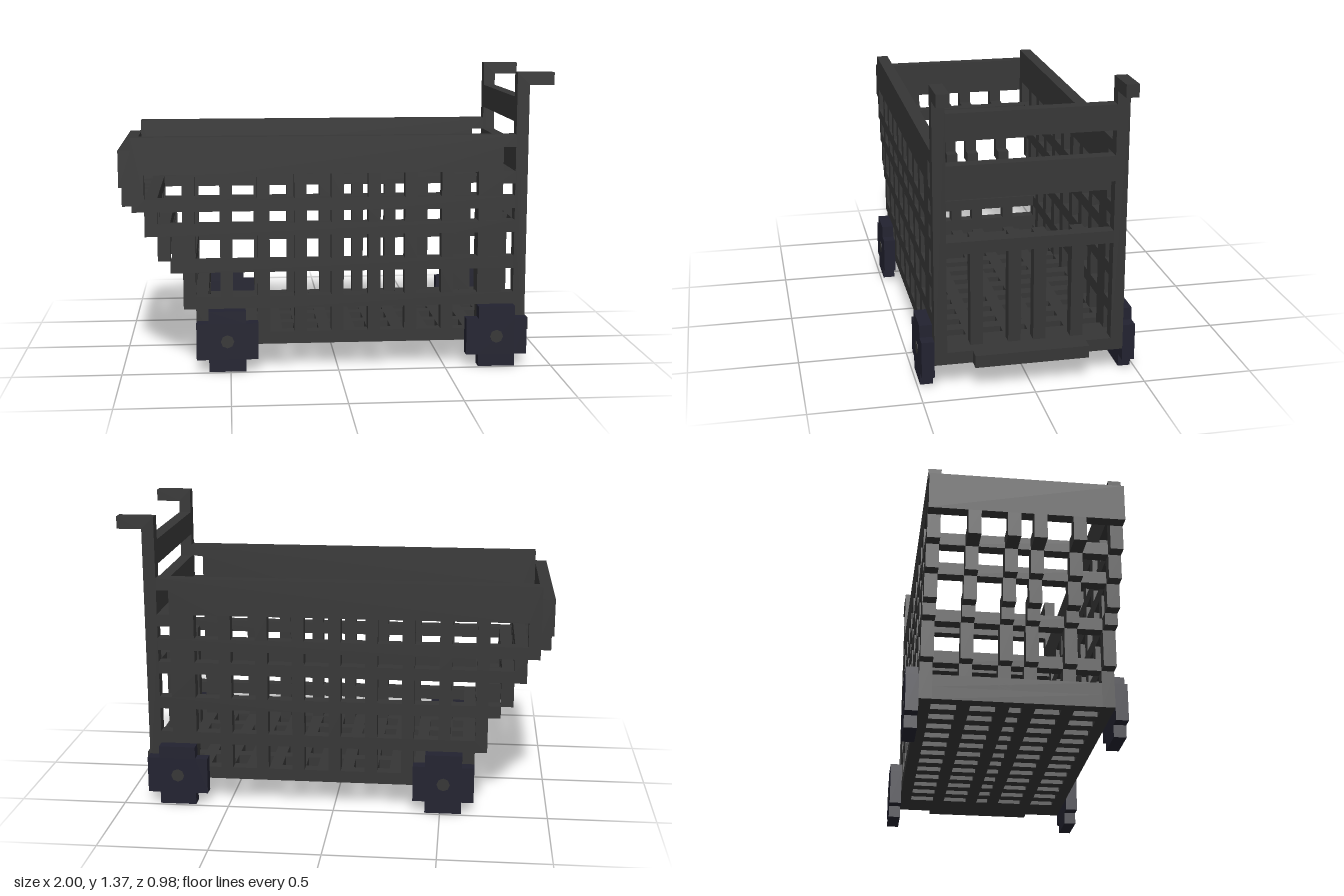
import * as THREE from 'three';

// One grid unit: the cart is 35 units long and 24 units tall
const U = 2 / 35;

export function createModel() {
  const cart = new THREE.Group();
  cart.name = 'shoppingCart';

  const frameGrey = new THREE.MeshStandardMaterial({ color: 0x363636 });
  frameGrey.name = 'frameGrey';
  const wheelNavy = new THREE.MeshStandardMaterial({ color: 0x222230 });
  wheelNavy.name = 'wheelNavy';

  // Box from grid limits; x counts from the front end, z from the centre line
  function box(name, x0, x1, y0, y1, z0, z1) {
    const g = new THREE.BoxGeometry((x1 - x0) * U, (y1 - y0) * U, (z1 - z0) * U);
    const m = new THREE.Mesh(g, frameGrey);
    m.name = name;
    m.position.set(((x0 + x1) / 2 - 17.5) * U, ((y0 + y1) / 2) * U, ((z0 + z1) / 2) * U);
    cart.add(m);
  }
  const points = (list) => list.map(([x, y]) => new THREE.Vector2((x - 17.5) * U, y * U));
  const extrude = (shape) => new THREE.ExtrudeGeometry(shape, { depth: U, bevelEnabled: false });

  // Lattice side with stepped end, rear post and handle
  const side = new THREE.Shape(points([
    [1, 19], [1, 13], [2, 13], [2, 11], [3, 11], [3, 9], [4, 9], [4, 8], [5, 8], [5, 5], [6, 5], [6, 2],
    [33, 2], [33, 23], [35, 23], [35, 24], [32, 24], [32, 19],
  ]));
  function hole(x0, x1, y0, y1) {
    side.holes.push(new THREE.Path(points([[x0, y0], [x1, y0], [x1, y1], [x0, y1]])));
  }
  for (const [y0, y1] of [[14, 16], [12, 13], [9, 11], [6, 8], [3, 5]]) {
    for (let x = 6; x < 29; x += 3) hole(x === 6 && y0 === 3 ? 7 : x, x + 2, y0, y1);
    hole(31, 32, y0, y0 === 14 ? 15 : y1);
  }
  hole(31, 32, 16, 18);
  hole(2, 5, 14, 16);
  hole(3, 5, 12, 13);
  hole(4.03, 5, 9.03, 11);
  const sideGeometry = extrude(side);
  for (const [name, z] of [['leftSideFrame', 6.5], ['rightSideFrame', -7.5]]) {
    const m = new THREE.Mesh(sideGeometry, frameGrey);
    m.name = name;
    m.position.z = z * U;
    cart.add(m);
  }

  // Stepped end: top board, cross bars and slats
  box('endBoard', 0, 1, 15, 18, -7.5, 7.5);
  for (const [x, y] of [[2, 13], [3, 11], [5, 8], [6, 5], [6, 3], [6, 2]]) {
    box('endCrossBar', x, x + 1, y, y + 1, -6.5, 6.5);
  }
  const slatZ = [-4.5, -1.5, 0.5, 3.5];
  const steps = [[0, 13, 15], [1, 13, 14], [2, 11, 13], [3, 9, 11], [4, 8, 10], [5, 5, 8], [6, 3, 5]];
  for (const z of slatZ) {
    for (const [x, y0, y1] of steps) box('endSlat', x, x + 1, y0, y1, z, z + 1);
    box('floorSlat', 7, 30, 2, 3, z, z + 1);
    box('rearSlat', 31, 32, 3, 12, z, z + 1);
  }

  // Floor grid and rear step
  for (let x = 8; x <= 28; x += 2) box('floorCrossBar', x, x + 1, 2, 3, -6.5, 6.5);
  box('rearFloor', 30, 33, 2, 3, -6.5, 6.5);
  box('rearStep', 33, 34, 2, 3, -4.5, 4.5);

  // Rear bars and seat shelf
  box('pushBar', 32, 33, 20, 22, -6.5, 6.5);
  box('rearBoard', 32, 33, 16, 18, -6.5, 6.5);
  box('rearMiddleBar', 32, 33, 11, 12, -6.5, 6.5);
  box('seatShelf', 30, 32, 15, 16, -6.5, 6.5);

  // Wheels: stepped discs with small hubs
  const wheelShape = new THREE.Shape([
    [-1.5, -2.5], [1.5, -2.5], [1.5, -1.5], [2.5, -1.5], [2.5, 1.5], [1.5, 1.5],
    [1.5, 2.5], [-1.5, 2.5], [-1.5, 1.5], [-2.5, 1.5], [-2.5, -1.5], [-1.5, -1.5],
  ].map(([x, y]) => new THREE.Vector2(x * U, y * U)));
  const wheelGeometry = extrude(wheelShape);
  wheelGeometry.translate(0, 0, -U / 2);
  const hubGeometry = new THREE.CylinderGeometry(0.031, 0.031, U + 0.004, 8);
  hubGeometry.rotateX(Math.PI / 2);
  for (const x of [8.5, 30.5]) {
    for (const z of [-8, 8]) {
      const wheel = new THREE.Group();
      wheel.name = 'wheel';
      const tyre = new THREE.Mesh(wheelGeometry, wheelNavy);
      tyre.name = 'tyre';
      const hub = new THREE.Mesh(hubGeometry, frameGrey);
      hub.name = 'hub';
      wheel.add(tyre, hub);
      wheel.position.set((x - 17.5) * U, 2.5 * U, z * U);
      cart.add(wheel);
    }
  }
  return cart;
}
